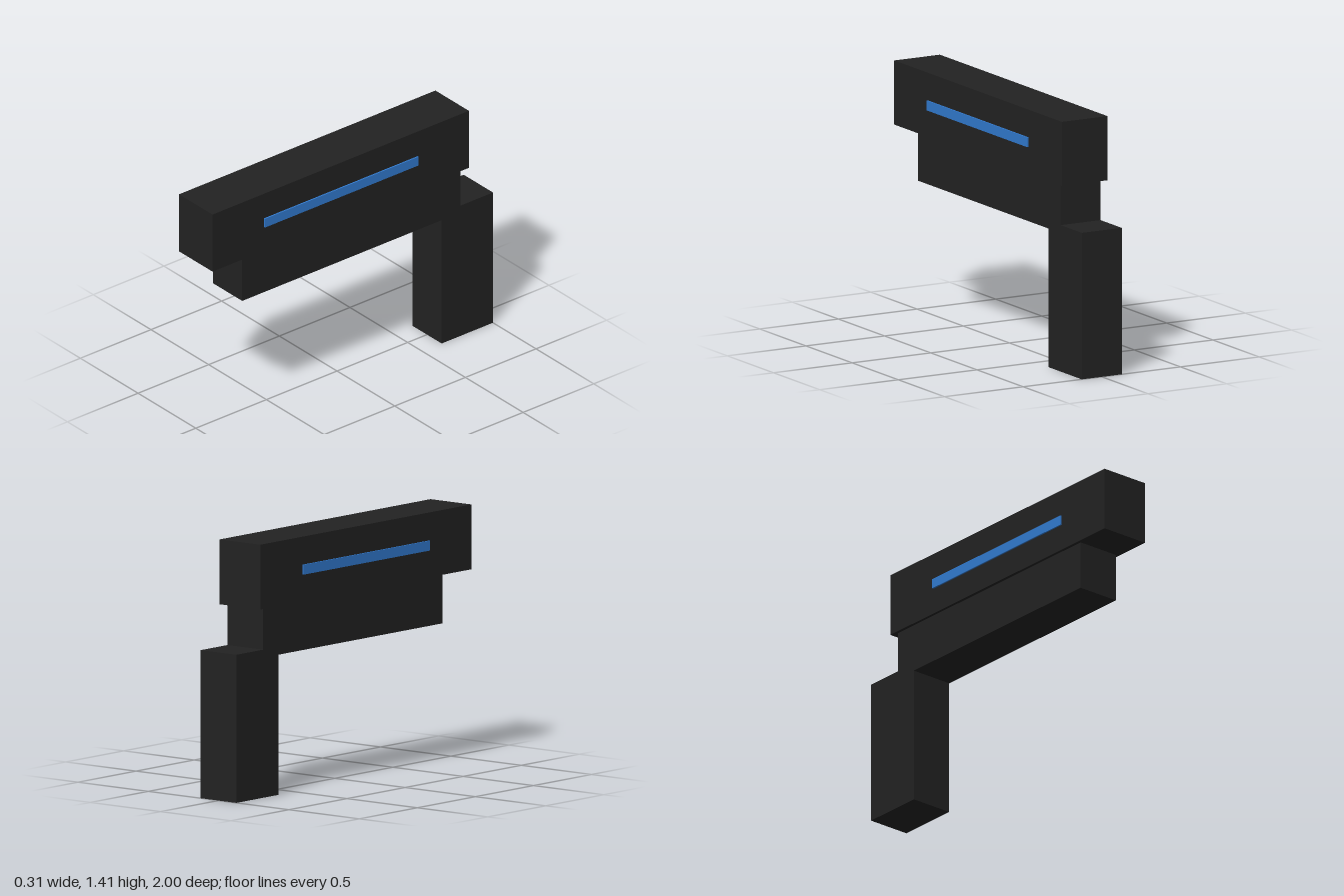
import * as THREE from 'three';

export function createModel() {
  const model = new THREE.Group();
  const black = new THREE.MeshStandardMaterial({ color: 0x222222 });
  black.name = 'matte black';
  const blue = new THREE.MeshStandardMaterial({ color: 0x317acf });
  blue.name = 'bright blue';

  // Box given by its extents on each axis
  function block(name, material, [x0, x1], [y0, y1], [z0, z1]) {
    const mesh = new THREE.Mesh(new THREE.BoxGeometry(x1 - x0, y1 - y0, z1 - z0), material);
    mesh.position.set((x0 + x1) / 2, (y0 + y1) / 2, (z0 + z1) / 2);
    mesh.name = name;
    model.add(mesh);
  }

  // Wide upper body, narrower lower frame and rear grip
  block('upperBody', black, [-0.145, 0.145], [1.052, 1.412], [-0.815, 1]);
  block('lowerFrame', black, [-0.127, 0.127], [0.778, 1.052], [-0.77, 0.775]);
  block('grip', black, [-0.127, 0.127], [0, 0.822], [-1, -0.637]);

  // Thin raised stripe on each side
  block('leftStripe', blue, [0.145, 0.1535], [1.202, 1.257], [-0.453, 0.635]);
  block('rightStripe', blue, [-0.1535, -0.145], [1.202, 1.257], [-0.453, 0.635]);

  return model;
}
